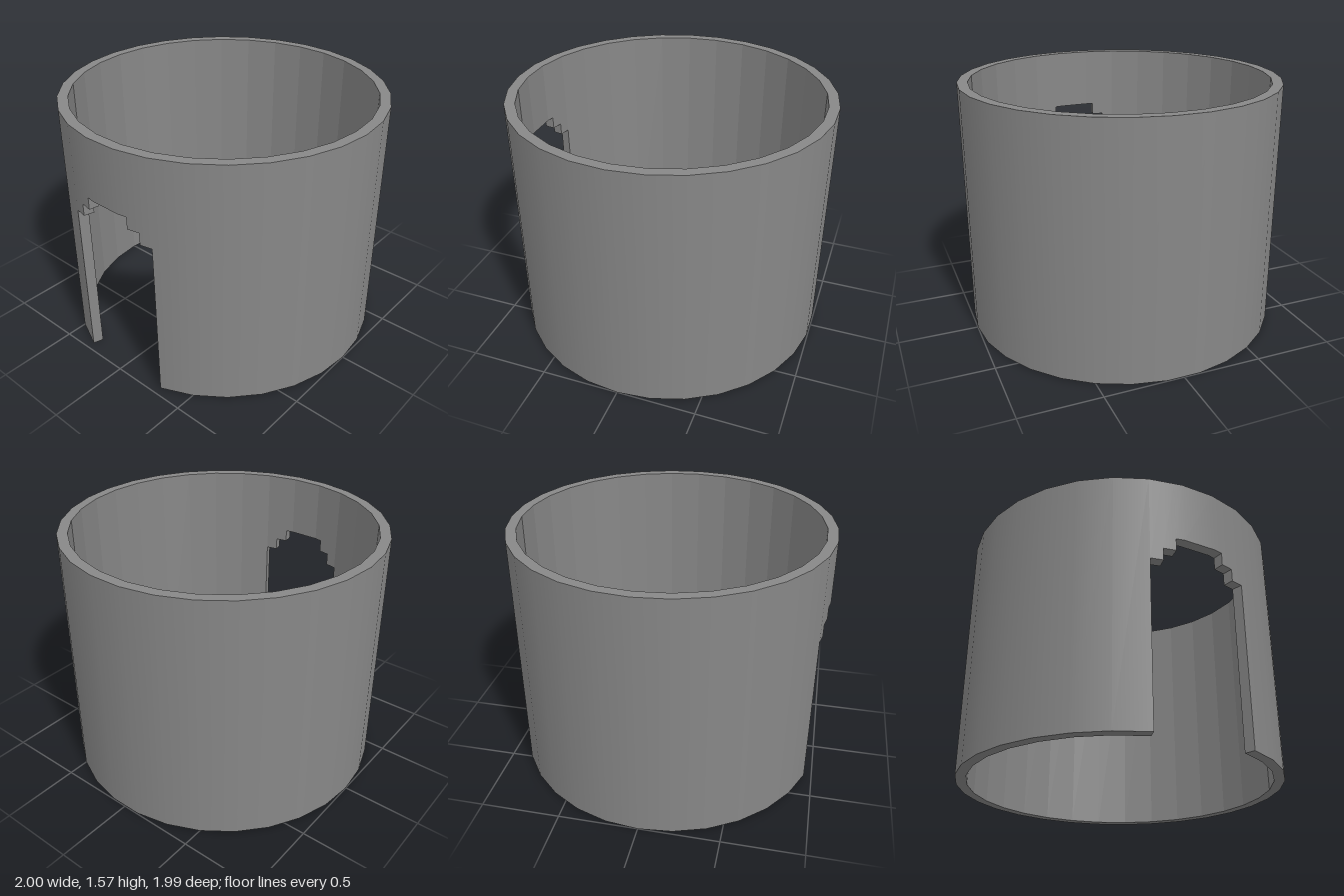
import * as THREE from 'three';

const SIDES = 30, OUTER = 1, INNER = 0.935, HEIGHT = 1.571;
const COURSE = HEIGHT / 20; // height of one doorway step

// Point on the polygon; t counts sides, and t = -0.5 is the middle of the front
function pointAt(t, radius, y) {
  const corner = (k) => {
    const a = ((k + 0.5) * 2 * Math.PI) / SIDES;
    return new THREE.Vector3(Math.sin(a) * radius, y, Math.cos(a) * radius);
  };
  const k = Math.floor(t);
  return corner(k).lerp(corner(k + 1), t - k);
}

// Lower edge of the wall: a stepped doorway at the front, the ground elsewhere
function baseAt(t) {
  const d = Math.abs(t + 0.5);
  if (d < 0.75) return 15 * COURSE;
  if (d < 1.125) return 14 * COURSE;
  if (d < 1.5) return 13 * COURSE;
  return 0;
}

// Mesh from four-cornered faces, smooth around the axis or flat
function quadMesh(name, quads, material, smooth) {
  const points = quads.flatMap(([a, b, c, d]) => [a, b, c, a, c, d]);
  const geometry = new THREE.BufferGeometry().setFromPoints(points);
  geometry.computeVertexNormals();
  if (smooth) {
    points.forEach((p, i) => {
      const r = Math.hypot(p.x, p.z);
      geometry.attributes.normal.setXYZ(i, p.x / r, 0, p.z / r);
    });
  }
  const mesh = new THREE.Mesh(geometry, material);
  mesh.name = name;
  return mesh;
}

export function createModel() {
  const material = new THREE.MeshStandardMaterial({ color: 0x878787 });

  // Wall divisions: every polygon corner plus the doorway steps
  const cuts = [-1.625, -1.25, 0.25, 0.625];
  for (let k = -2; k <= SIDES - 2; k++) cuts.push(k);
  cuts.sort((a, b) => a - b);

  const outside = [], inside = [], rim = [], underside = [], jambs = [];
  for (let i = 0; i < cuts.length - 1; i++) {
    const a = cuts[i], b = cuts[i + 1];
    const base = baseAt((a + b) / 2);
    const before = baseAt(a - 0.01);
    const o = (t, y) => pointAt(t, OUTER, y);
    const n = (t, y) => pointAt(t, INNER, y);
    outside.push([o(a, base), o(b, base), o(b, HEIGHT), o(a, HEIGHT)]);
    inside.push([n(b, base), n(a, base), n(a, HEIGHT), n(b, HEIGHT)]);
    rim.push([o(a, HEIGHT), o(b, HEIGHT), n(b, HEIGHT), n(a, HEIGHT)]);
    underside.push([n(a, base), n(b, base), o(b, base), o(a, base)]);
    // Upright face wherever the lower edge steps up or down
    if (before !== base) jambs.push([o(a, before), n(a, before), n(a, base), o(a, base)]);
  }

  const model = new THREE.Group();
  model.name = 'roundWall';
  model.add(
    quadMesh('outerWall', outside, material, true),
    quadMesh('innerWall', inside, material, false),
    quadMesh('topRim', rim, material, false),
    quadMesh('baseAndLintel', underside, material, false),
    quadMesh('doorwayJambs', jambs, material, false),
  );
  return model;
}
